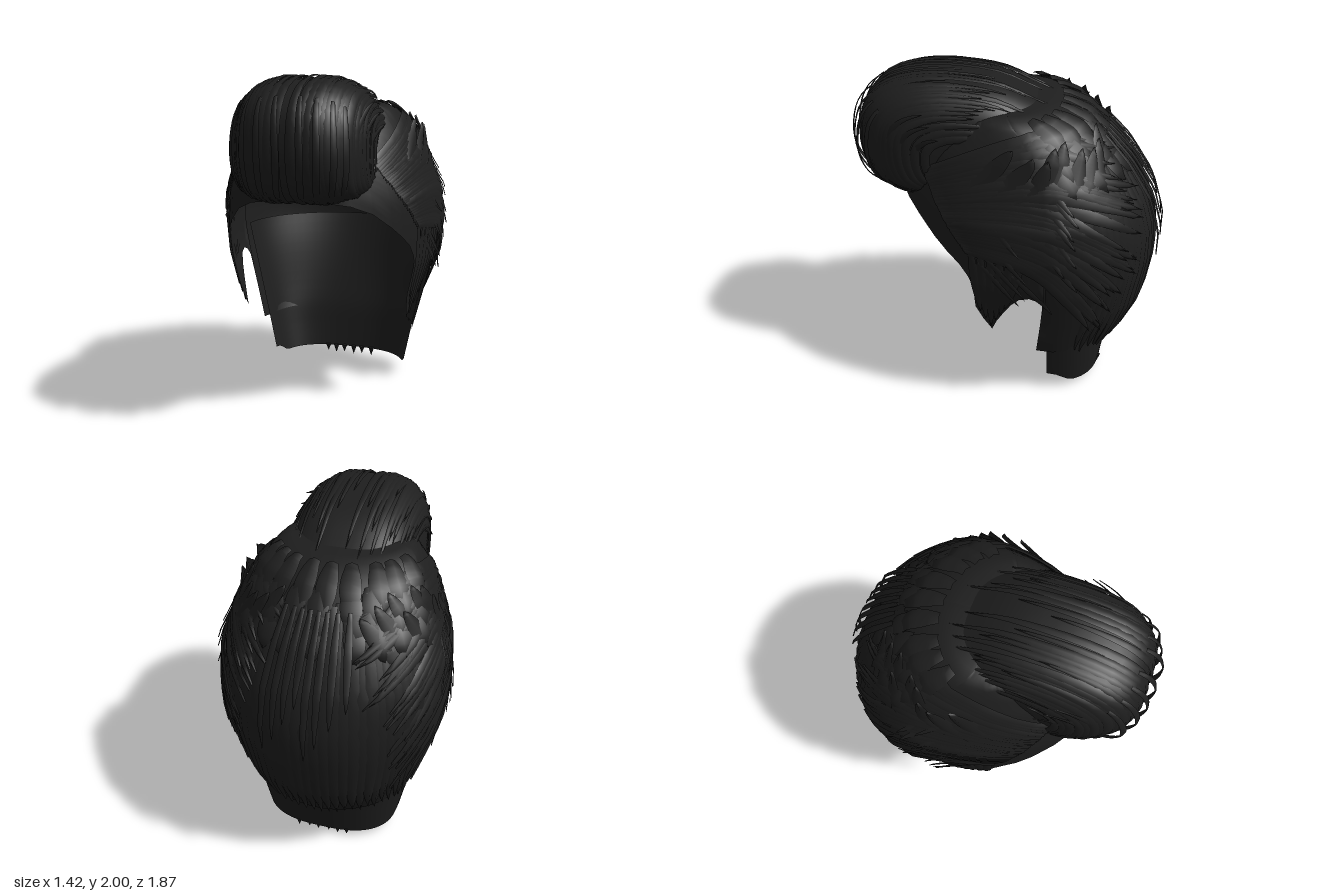
import * as THREE from 'three';
import { mergeGeometries } from 'three/addons/utils/BufferGeometryUtils.js';

const V = (x, y, z) => new THREE.Vector3(x, y, z);
const { degToRad: rad, lerp: mix, clamp, smoothstep } = THREE.MathUtils;

// Small seeded jitter in the range -1..1
let seed = 7;
const jitter = () => {
  seed = (seed * 16807) % 2147483647;
  return (seed / 2147483647) * 2 - 1;
};

// Surface through a (nu+1) x (nv+1) grid of points
function grid(fn, nu, nv) {
  const pos = [], idx = [];
  for (let i = 0; i <= nu; i++) for (let j = 0; j <= nv; j++) {
    const p = fn(i, j);
    pos.push(p.x, p.y, p.z);
    if (i < nu && j < nv) {
      const a = i * (nv + 1) + j, b = a + nv + 1;
      idx.push(a, b, a + 1, b, b + 1, a + 1);
    }
  }
  const g = new THREE.BufferGeometry();
  g.setAttribute('position', new THREE.Float32BufferAttribute(pos, 3));
  g.setIndex(idx);
  g.computeVertexNormals();
  return g;
}

// Head of hair by height: y, half width, front z, back z, centre z
const levels = [
  [0.30, 0.49, 0.65, -0.67, -0.25], [0.36, 0.51, 0.65, -0.73, -0.25],
  [0.60, 0.57, 0.65, -0.84, -0.25], [0.90, 0.65, 0.65, -0.88, -0.25],
  [1.10, 0.665, 0.65, -0.875, -0.25], [1.30, 0.65, 0.65, -0.81, -0.25],
  [1.50, 0.58, 0.62, -0.68, -0.22], [1.65, 0.51, 0.55, -0.55, -0.15],
  [1.75, 0.45, 0.45, -0.44, -0.10], [1.81, 0.40, 0.33, -0.33, -0.04],
  [1.84, 0.32, 0.25, -0.22, 0], [1.86, 0, 0, 0, 0],
];
// a = angle from the front (0) around the side to the back (PI)
function headPoint(a, y) {
  y = clamp(y, 0.3, 1.86);
  let i = 0;
  while (i < levels.length - 2 && levels[i + 1][0] < y) i++;
  const f = (y - levels[i][0]) / (levels[i + 1][0] - levels[i][0]);
  const [, w, front, back, c] = levels[i].map((n, k) => mix(n, levels[i + 1][k], f));
  const cos = Math.cos(a), sin = Math.sin(a);
  const across = Math.sign(sin) * Math.pow(Math.abs(sin), cos > 0 ? 0.85 : 1);
  return V(w * across, y, c + cos * (cos > 0 ? front - c : c - back));
}

// Swept-up front roll: u runs side to side, t from the hairline over to the crown
const rollCurve = new THREE.CatmullRomCurve3([
  [0.5, 1.31], [0.68, 1.32], [0.81, 1.39], [0.86, 1.5], [0.87, 1.64], [0.83, 1.81], [0.71, 1.92],
  [0.5, 1.975], [0.25, 1.97], [0.05, 1.935], [-0.13, 1.855], [-0.4, 1.73],
].map(([z, y]) => V(0, y, z)));
function rollPoint(u, t) {
  const p = rollCurve.getPoint(clamp(t, 0, 1));
  const a = u * Math.PI / 2;
  const s = Math.pow(Math.max(Math.cos(a), 0), 0.6);
  return V(0.39 * Math.sign(a) * Math.pow(Math.abs(Math.sin(a)), 0.7),
    1.5 + (p.y - 1.5) * s, 0.2 + (p.z - 0.2) * s);
}

// Tapered, ridged ribbon that follows a path(s) -> [a, b] over a surface
function lock(surface, centre, path, width, lift, segs = 14) {
  const rows = [];
  for (let i = 0; i <= segs; i++) {
    const s = i / segs, e = 0.004;
    const [a, b] = path(s), p = surface(a, b);
    const n = surface(a + e, b).sub(surface(a - e, b))
      .cross(surface(a, b + e).sub(surface(a, b - e))).normalize();
    if (n.dot(p.clone().sub(centre)) < 0) n.negate();
    const tangent = surface(...path(Math.min(s + 0.02, 1)))
      .sub(surface(...path(Math.max(s - 0.02, 0)))).normalize();
    const side = tangent.cross(n).normalize();
    const w = width * Math.pow(Math.sin(Math.PI * (0.12 + 0.88 * s)), 0.6) / 2 || 0;
    const h = lift(s);
    rows.push([-1, 0, 1].map(k => p.clone().addScaledVector(side, k * w)
      .addScaledVector(n, h + (k ? 0 : width * 0.14))));
  }
  return grid((i, j) => rows[i][j], segs, 2);
}

export function createModel() {
  seed = 7;
  const group = new THREE.Group();
  const hair = new THREE.MeshStandardMaterial({ color: 0x1e1e1e, side: THREE.DoubleSide });
  hair.name = 'black hair';
  const add = (name, geometry) => {
    const mesh = new THREE.Mesh(Array.isArray(geometry) ? mergeGeometries(geometry) : geometry, hair);
    mesh.name = name;
    group.add(mesh);
  };
  const headCentre = V(0, 1.1, -0.2), rollCentre = V(0, 1.5, 0.2);
  const headLock = (path, w, lift) => lock(headPoint, headCentre, path, w, lift);
  const rollLock = (path, w, lift) => lock(rollPoint, rollCentre, path, w, lift, 22);

  // Hollow cap with hairline, pointed sideburns and ear arches (z, lower edge)
  const hairline = [
    [0.65, 1.31], [0.62, 1.305], [0.58, 1.29], [0.5, 1.24], [0.4, 1.15], [0.32, 1.08], [0.25, 1.02],
    [0.2, 0.95], [0.17, 0.88], [0.165, 0.7], [0.12, 0.6], [0.07, 0.52], [0.04, 0.6], [0, 0.68],
    [-0.05, 0.77], [-0.1, 0.83], [-0.16, 0.85], [-0.21, 0.83], [-0.245, 0.78],
  ];
  const half = hairline.map(([z, y]) => {
    const a = Math.acos(Math.min((z + 0.25) / 0.9, 1));
    return [a, y, a];
  });
  // Front edge behind the ear leans forward towards its lower end
  half.push([rad(86.8), 0.36, rad(90.5)]);
  for (let d = 96; d <= 180; d += 6) half.push([rad(d), 0.345, rad(d)]);
  const columns = [...half.slice(1).reverse().map(([a, y, b]) => [-a, y, -b]), ...half];
  add('scalpCap', grid((i, j) => {
    const [a, y0, b] = columns[i];
    const y = mix(y0, 1.86, Math.sin(j / 28 * Math.PI / 2));
    return headPoint(mix(a, b, Math.min((y - y0) / 0.42, 1)), y);
  }, columns.length - 1, 28));

  // Short cropped neck, continuing up as a lining inside the cap
  add('neckBand', grid((i, j) => {
    const a = rad(90 + 180 * i / 32), edge = Math.abs(i - 16) / 16;
    const y = mix(0.05 + 0.07 * smoothstep(edge, 0.75, 1), 1, j / 14);
    const low = Math.min(y / 0.35, 1), high = Math.max((y - 0.35) / 0.65, 0);
    const power = mix(0.75, 1, smoothstep(y, 0.2, 0.9));
    const c = Math.cos(a), s = Math.sin(a);
    return V((mix(0.425, 0.495, low) + 0.135 * high) * Math.sign(s) * Math.pow(Math.abs(s), power), y,
      -0.265 - (mix(0.335, 0.38, low) + 0.2 * high) * Math.pow(Math.abs(c), power));
  }, 32, 14));

  // Jagged points under the neck
  add('napePoints', [-0.16, -0.1, -0.04, 0.03, 0.09, 0.16].map((x, i) => {
    const h = i % 2 ? 0.06 : 0.05;
    return new THREE.ConeGeometry(0.02, h, 4).rotateX(Math.PI).translate(x, 0.06 - h / 2, -0.59);
  }));

  // Front roll and the locks combed over it
  add('frontRoll', grid((i, j) => rollPoint(i / 20 - 1, j / 30), 40, 30));
  const rollLocks = [];
  for (let i = 0; i < 34; i++) {
    const u = -0.9 + 1.8 * i / 33, end = 0.82 + 0.15 * jitter(), h = 0.006 + 0.005 * jitter();
    rollLocks.push(rollLock(s => [u * (1 - 0.15 * s * s), mix(0.02, end, s)], 0.055, s => h + 0.01 * s));
  }
  add('frontRollLocks', rollLocks);

  // Thin loose strands in front of the roll
  const loose = [];
  for (const u of [-0.42, -0.28, -0.15, -0.04, 0.06, 0.17, 0.3, 0.42]) {
    const bow = 0.048 + 0.012 * jitter();
    loose.push(rollLock(s => [u + 0.03 * Math.sin(4 * s), mix(0.5, 0.06, s)], 0.04,
      s => bow * Math.sin(Math.PI * Math.min(s + 0.15, 1))));
  }
  for (const m of [-1, 1]) for (let k = 0; k < 3; k++) {
    loose.push(rollLock(s => [m * (0.62 + 0.1 * k), mix(0.3, 0.62, s)], 0.035, s => 0.05 * s * s));
  }
  add('looseFrontStrands', loose);

  for (const [m, label] of [[1, 'left'], [-1, 'right']]) {
    // Fan swept from the temple over the ear to the back
    const fan = [];
    for (let i = 0; i < 30; i++) {
      const k = -0.45 + 1.5 * i / 29, r = jitter(), q = jitter();
      const a0 = 44 + 15 * k, a1 = 148 - 25 * k + 8 * r;
      const y0 = 1.4 - 0.25 * k, y1 = 1.3 - 0.75 * k + 0.04 * q;
      fan.push(headLock(s => [m * rad(mix(a0, a1, s)), mix(y0, y1, s) + 0.19 * Math.sin(Math.PI * s)],
        0.085, s => 0.01 + 0.004 * q + (0.008 + 0.012 * Math.abs(r)) * s * s));
    }
    add(label + 'SideSweep', fan);

    // Locks running down into the sideburn
    const burn = [];
    for (let i = 0; i < 6; i++) {
      const a0 = 62 + 4 * i, a1 = 65 + 2 * i, y1 = 0.56 + 0.06 * Math.abs(i - 2);
      burn.push(headLock(s => [m * rad(mix(a0, a1, s)), mix(1.15, y1, s)], 0.06, () => 0.006));
    }
    add(label + 'SideburnLocks', burn);

    // Flyaway ends on the side
    const fly = [];
    for (let i = 0; i < 12; i++) {
      const y = 0.92 + 0.055 * i, a = 78 + 14 * jitter();
      fly.push(headLock(s => [m * rad(a + 16 * s), y + 0.1 - 0.24 * s], 0.035,
        s => 0.01 + 0.035 * s * s));
    }
    add(label + 'FlyawayEnds', fly);

    // Raised tufts along the upper side
    const tufts = [];
    for (let i = 0; i < 9; i++) {
      const a = 62 + 9 * i, y = 1.48 + 0.05 * jitter();
      tufts.push(headLock(s => [m * rad(a + 22 * s), y + 0.2 * s], 0.1, s => 0.01 + 0.05 * s * s));
    }
    add(label + 'UpperTufts', tufts);
  }

  // Long locks falling down the back
  const back = [];
  for (let i = 0; i < 27; i++) {
    const a = 112 + 136 * i / 26, r = jitter();
    const top = 1.68 + 0.06 * r, end = 0.36 + 0.03 * jitter();
    back.push(headLock(s => [rad(180 + (a - 180) * mix(0.8, 1, s)), mix(top, end, s)],
      0.105, () => 0.004 + 0.004 * r));
  }
  add('backLocks', back);

  // Loose strands arching off the back
  add('looseBackStrands', [-20, -14, -9, -4, 1, 6, 12, 19].map((d, i) =>
    headLock(s => [rad(180 + d), mix(1.66, 0.94 + 0.1 * (i % 4), s)], 0.045,
      s => 0.015 + 0.04 * Math.sin(Math.PI * Math.min(0.25 + s * 0.4, 1)))));

  // Overlapping layers across the crown
  const crown = [];
  for (let row = 0; row < 4; row++) for (let i = 0; i < 9; i++) {
    const a = 180 + (i - 4) * 17 + 4 * jitter(), y = 1.82 - 0.065 * row;
    crown.push(headLock(s => [rad(a + 3 * s), y - 0.17 * s], 0.12,
      s => 0.008 + 0.014 * Math.sin(Math.PI * s)));
  }
  add('crownLayers', crown);

  return group;
}
